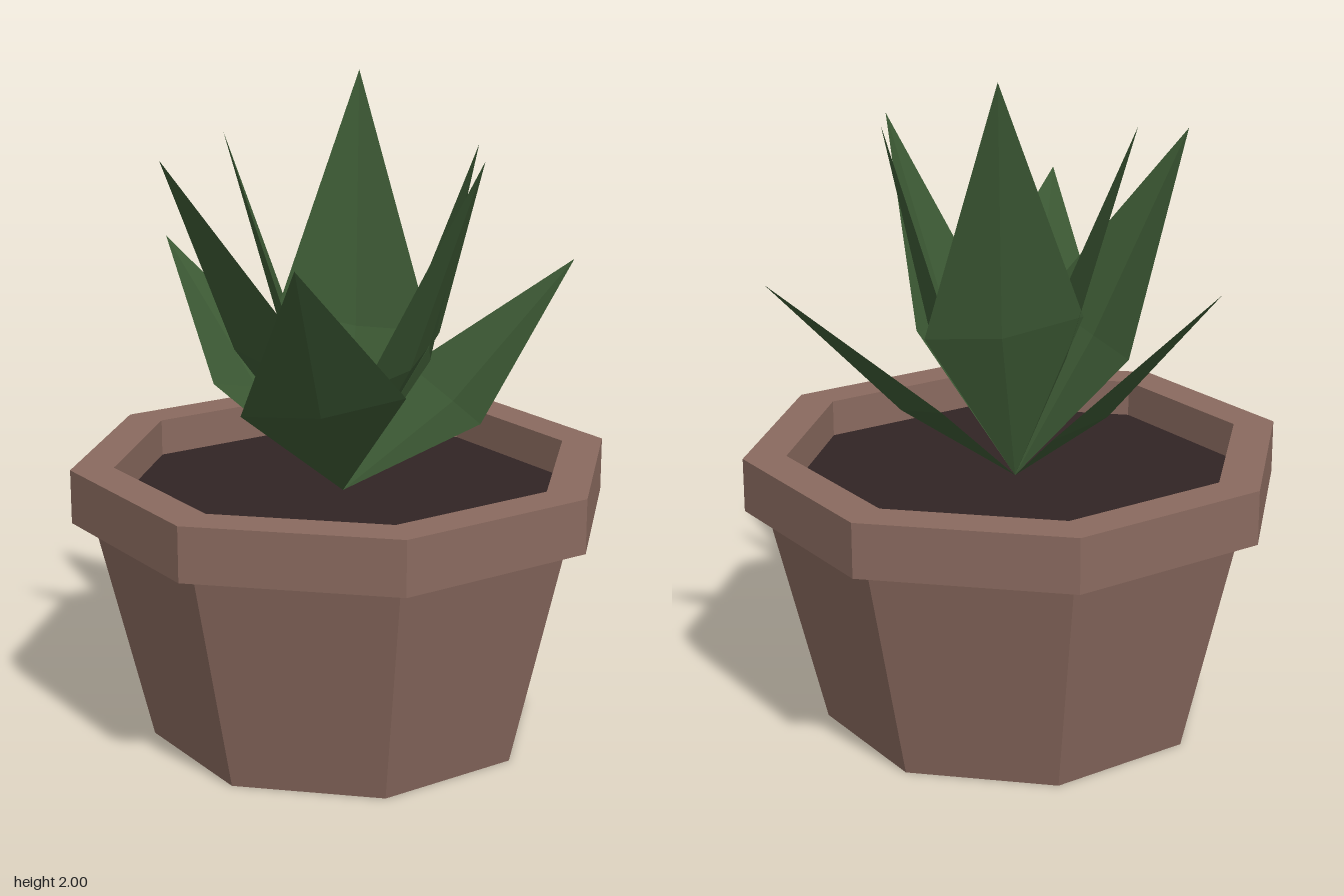
import * as THREE from 'three';

const SIDES = 8;
const TURN = Math.PI / SIDES;
// Corner radius of an octagon from its flat-to-centre distance
const R = (flat) => flat / Math.cos(TURN);

function makeMaterial(name, color) {
  const m = new THREE.MeshStandardMaterial({ color, flatShading: true, side: THREE.DoubleSide });
  m.name = name;
  return m;
}

// Octagonal surface from [flat distance, height] profile points
function octagonLathe(profile) {
  const pts = profile.map(([r, y]) => new THREE.Vector2(R(r), y));
  return new THREE.LatheGeometry(pts, SIDES, TURN, Math.PI * 2);
}

// Creased, pointed leaf growing along +z; one edge corner sits lower than the other
function leafGeometry({ tip, low, high }) {
  const base = [0, 0.75, 0];
  const rib = [
    (low[0] + high[0]) / 2,
    (low[1] + high[1]) / 2 - 0.025,
    (low[2] + high[2]) / 2 + 0.03,
  ];
  const g = new THREE.BufferGeometry();
  g.setAttribute('position', new THREE.Float32BufferAttribute(
    [base, low, rib, high, [0, tip[1], tip[0]]].flat(), 3));
  g.setIndex([0, 2, 1, 0, 3, 2, 1, 2, 4, 2, 3, 4]);
  g.computeVertexNormals();
  return g;
}

export function createModel() {
  const model = new THREE.Group();
  model.name = 'pottedSucculent';
  const clay = makeMaterial('clay', 0x8a6a5f);
  const earth = makeMaterial('soil', 0x312424);
  const green = makeMaterial('leafGreen', 0x3c5934);

  const add = (name, geometry, material, parent = model) => {
    const mesh = new THREE.Mesh(geometry, material);
    mesh.name = name;
    parent.add(mesh);
    return mesh;
  };

  // Pot: open-bottomed tapered wall and a thick rim
  add('potWall', octagonLathe([[0.55, 0], [0.705, 0.7]]), clay);
  add('potRim', octagonLathe([
    [0.645, 0.7], [0.765, 0.7], [0.765, 0.865], [0.645, 0.865], [0.645, 0.7],
  ]), clay);

  // Soil
  const soil = add('soil', new THREE.CircleGeometry(R(0.645), SIDES, TURN), earth);
  soil.rotation.x = -Math.PI / 2;
  soil.position.y = 0.75;

  // Leaves: heading in degrees, tip [reach, height], two edge corners [x, y, z]
  const leaves = new THREE.Group();
  leaves.name = 'leaves';
  model.add(leaves);
  const rows = [
    // outer ring
    { name: 'outerLeafFront', deg: 0, tip: [0.7, 1.57], low: [-0.24, 1.06, 0.33], high: [0.24, 1.13, 0.3] },
    { name: 'outerLeafRight', deg: -120, tip: [0.745, 1.45], low: [-0.24, 1.0, 0.34], high: [0.24, 1.08, 0.31] },
    { name: 'outerLeafLeft', deg: 120, tip: [0.76, 1.42], low: [-0.24, 0.99, 0.35], high: [0.24, 1.06, 0.31] },
    // middle ring
    { name: 'middleLeafRight', deg: -60, tip: [0.555, 1.79], low: [-0.24, 1.16, 0.27], high: [0.25, 1.23, 0.18] },
    { name: 'middleLeafLeft', deg: 60, tip: [0.52, 1.81], low: [-0.24, 1.16, 0.28], high: [0.24, 1.23, 0.18] },
    // inner ring
    { name: 'innerLeafBack', deg: 180, tip: [0.27, 2.0], low: [-0.24, 1.22, 0.17], high: [0.22, 1.29, 0.09] },
    { name: 'innerLeafRight', deg: -90, tip: [0.36, 1.84], low: [-0.215, 1.2, 0.19], high: [0.21, 1.27, 0.11] },
    { name: 'innerLeafLeft', deg: 91, tip: [0.4, 1.82], low: [-0.13, 1.2, 0.28], high: [0.16, 1.27, 0.18] },
  ];
  for (const row of rows) {
    add(row.name, leafGeometry(row), green, leaves).rotation.y = THREE.MathUtils.degToRad(row.deg);
  }
  return model;
}
